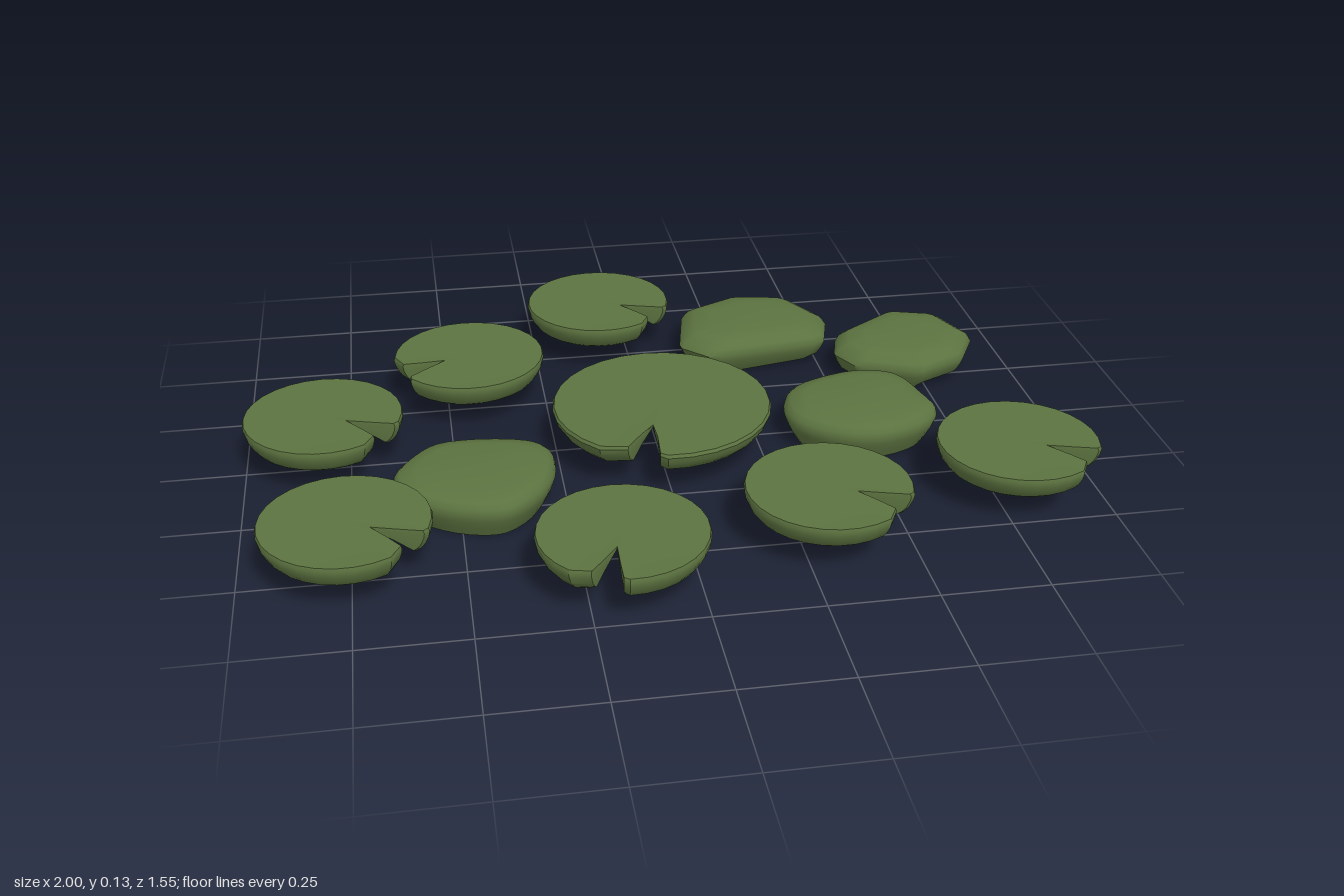
import * as THREE from 'three';
import { toCreasedNormals } from 'three/addons/utils/BufferGeometryUtils.js';

const material = new THREE.MeshStandardMaterial({ color: 0x5c7340, side: THREE.DoubleSide });
const rad = THREE.MathUtils.degToRad;

// Shell open at the bottom: scaled copies of an outline, joined from the top centre to the lower rim.
// outline = [x, z, depth] points, where depth (0 to 1) shortens the side wall at that point.
// profile = [scale, y] rows; wave makes the lower rim uneven.
function shell(outline, profile, crease, wave = 0) {
  const n = outline.length, pos = [], index = [], top = profile[1][1];
  profile.forEach(([s, y], r) => outline.forEach(([x, z, depth = 1], i) => {
    const lift = r === profile.length - 1 ? wave * (1 + Math.sin(i / n * Math.PI * 6)) : 0;
    const k = THREE.MathUtils.lerp(1, s, r > 1 ? depth : 1);
    pos.push(x * (r ? k : 0), r > 1 ? top + (y - top) * depth + lift : y, z * (r ? k : 0));
  }));
  for (let r = 0; r < profile.length - 1; r++) {
    for (let i = 0; i < n; i++) {
      const j = (i + 1) % n;
      const a = r * n + i, b = r * n + j, c = b + n, d = a + n;
      if (r > 0) index.push(a, b, c);
      index.push(a, c, d);
    }
  }
  const g = new THREE.BufferGeometry();
  g.setAttribute('position', new THREE.Float32BufferAttribute(pos, 3));
  g.setIndex(index);
  return toCreasedNormals(g, crease);
}

// Round leaf outline with a V notch; the wall fades out towards the notch tip
function padOutline(R, angle, half, apex) {
  const point = (r, t, depth) => [r * R * Math.cos(t), r * R * Math.sin(t), depth];
  const pts = [point(apex, angle, 0.1), point(0.66, angle + half * 0.72, 0.5), point(0.9, angle + half, 0.9)];
  const start = angle + half + 0.24, end = angle - half - 0.07 + Math.PI * 2, sides = 26;
  for (let i = 0; i <= sides; i++) pts.push(point(1, THREE.MathUtils.lerp(start, end, i / sides), 1));
  pts.push(point(0.96, angle - half, 0.9), point(0.66, angle - half * 0.72, 0.5));
  return pts;
}

// Cut each corner of a polygon into a short bevel
function bevelCorners(points) {
  const n = points.length;
  return points.flatMap((p, i) => [
    p.clone().lerp(points[(i + n - 1) % n], 0.08),
    p.clone().lerp(points[(i + 1) % n], 0.08),
  ]);
}

const padProfile = [[0, 0.124], [0.985, 0.127], [1, 0.119], [0.985, 0.105], [0.945, 0.088], [0.89, 0.074], [0.83, 0.066]];
const roundProfile = [[0, 0.101], [0.72, 0.099], [0.91, 0.093], [0.98, 0.08], [1, 0.065], [0.97, 0.048], [0.91, 0.025], [0.83, 0]];
const angularProfile = [[0, 0.1], [0.55, 0.099], [0.8, 0.094], [0.95, 0.078], [1, 0.062], [0.96, 0.042], [0.9, 0.022], [0.82, 0]];

// x, z, radius, notch angle in degrees
const pads = [
  [0.012, 0.008, 0.269, 109],
  [-0.808, -0.04, 0.192, 34],
  [-0.44, -0.31, 0.192, 158],
  [-0.07, -0.583, 0.192, 34],
  [-0.757, 0.447, 0.192, 34],
  [-0.165, 0.58, 0.192, 109],
  [0.318, 0.467, 0.192, 34],
  [0.808, 0.338, 0.192, 34],
];

// Plan outlines; the smooth ones are rounded by a curve
const stones = [
  { name: 'roundStoneRight', smooth: true, c: [-0.46, 0.22], pts: [[-0.45, 0.062], [-0.315, 0.09], [-0.275, 0.13],
    [-0.275, 0.23], [-0.313, 0.315], [-0.39, 0.383], [-0.46, 0.385], [-0.56, 0.345], [-0.637, 0.275], [-0.65, 0.2],
    [-0.605, 0.12], [-0.55, 0.072]] },
  { name: 'roundStoneLeft', smooth: true, c: [0.51, 0.02], pts: [[0.47, -0.13], [0.56, -0.143], [0.645, -0.11],
    [0.685, 0.01], [0.695, 0.075], [0.655, 0.135], [0.55, 0.18], [0.46, 0.178], [0.365, 0.125], [0.325, 0.07],
    [0.322, 0], [0.355, -0.075]] },
  { name: 'angularStoneBack', c: [0.34, -0.48], wave: 0.008, pts: [[0.313, -0.652], [0.472, -0.622], [0.55, -0.48],
    [0.515, -0.358], [0.2, -0.315], [0.125, -0.39], [0.163, -0.58]] },
  { name: 'angularStoneBackLeft', c: [0.72, -0.32], wave: 0.013, pts: [[0.725, -0.492], [0.858, -0.452], [0.914, -0.315],
    [0.855, -0.207], [0.725, -0.145], [0.565, -0.205], [0.524, -0.285], [0.55, -0.375]] },
];

export function createModel() {
  const group = new THREE.Group();
  group.name = 'pondLeaves';

  // Floating notched leaves
  pads.forEach(([x, z, R, deg], i) => {
    const large = i === 0;
    const outline = padOutline(R, rad(deg), large ? 0.16 : 0.2, large ? 0.46 : 0.35);
    const mesh = new THREE.Mesh(shell(outline, padProfile, 0.6), material);
    mesh.name = large ? 'largeLeaf' : 'smallLeaf' + i;
    mesh.position.set(x, large ? -0.006 : 0, z);
    group.add(mesh);
  });

  // Low stones between the leaves
  stones.forEach(({ name, smooth, c, pts, wave }) => {
    const local = pts.map(([x, z]) => new THREE.Vector3(x - c[0], 0, z - c[1]));
    const ring = smooth ? new THREE.CatmullRomCurve3(local, true).getPoints(36).slice(0, -1) : bevelCorners(local);
    const profile = smooth ? roundProfile : angularProfile;
    const mesh = new THREE.Mesh(shell(ring.map(p => [p.x, p.z]), profile, 0.9, wave), material);
    mesh.name = name;
    mesh.position.set(c[0], 0, c[1]);
    group.add(mesh);
  });

  return group;
}
